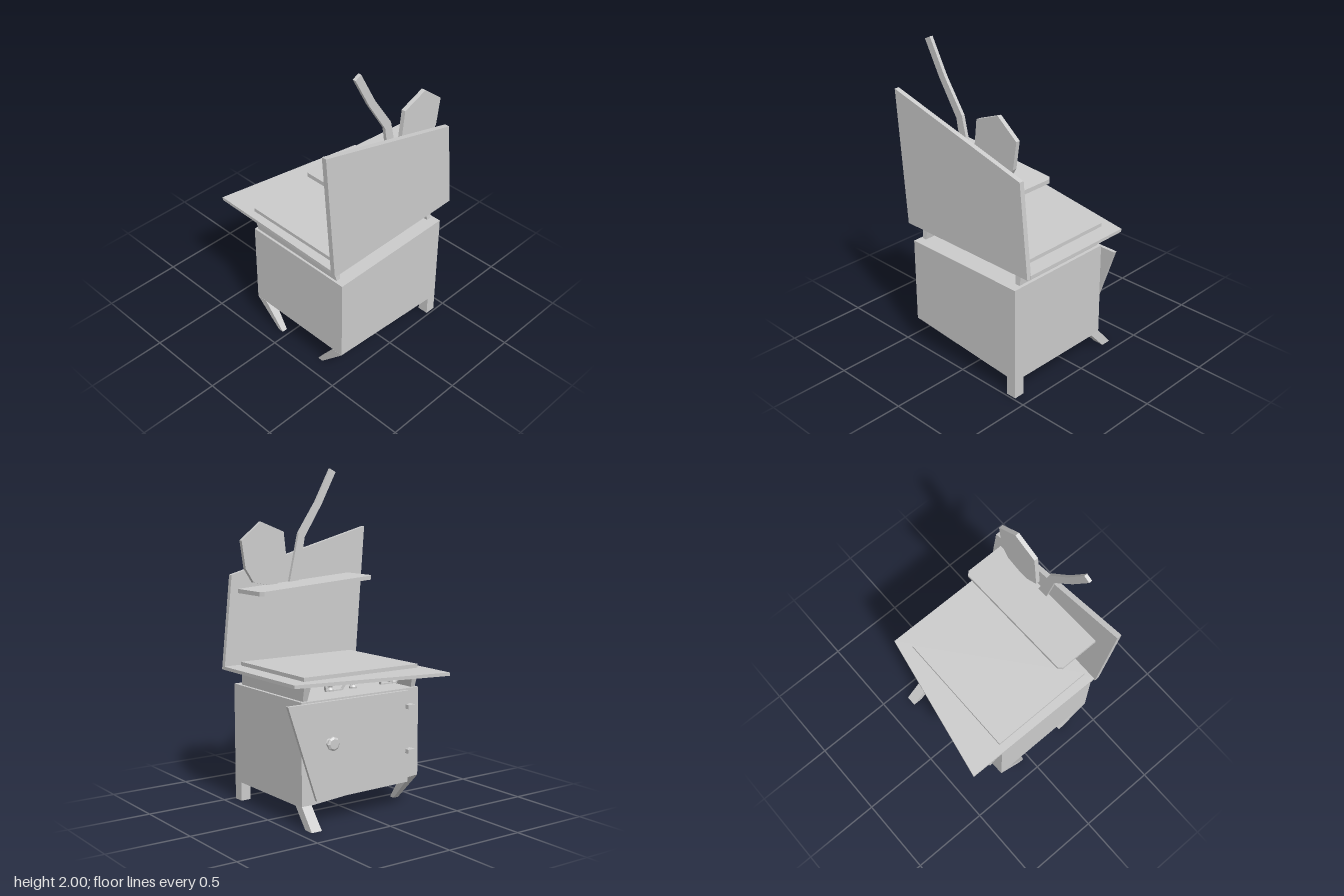
import * as THREE from 'three';

const mat = new THREE.MeshStandardMaterial({ color: 0xcccccc, flatShading: true, side: THREE.DoubleSide });

export function createModel() {
  const model = new THREE.Group();

  const add = (name, geo, x = 0, y = 0, z = 0) => {
    const mesh = new THREE.Mesh(geo, mat);
    mesh.name = name;
    mesh.position.set(x, y, z);
    model.add(mesh);
    return mesh;
  };
  const extrude = (pts, depth) => new THREE.ExtrudeGeometry(
    new THREE.Shape(pts.map(([a, b]) => new THREE.Vector2(a, b))), { depth, bevelEnabled: false });

  // Upright board: outline in (z, y), thickness from x0 to x1
  const sideBoard = (name, pts, x0, x1) =>
    add(name, extrude(pts, x1 - x0).rotateY(-Math.PI / 2), x1);
  // Flat board: outline in (x, z), thickness from y0 to y1
  const flatBoard = (name, pts, y0, y1) =>
    add(name, extrude(pts, y1 - y0).rotateX(Math.PI / 2), 0, y1);
  // Tapered block between two rectangles [x0, x1, z0, z1]
  const taper = (name, top, yTop, bottom, yBottom) => {
    const geo = new THREE.BoxGeometry(1, 1, 1);
    const p = geo.attributes.position;
    for (let i = 0; i < p.count; i++) {
      const up = p.getY(i) > 0, r = up ? top : bottom;
      p.setXYZ(i, r[p.getX(i) > 0 ? 1 : 0], up ? yTop : yBottom, r[p.getZ(i) > 0 ? 3 : 2]);
    }
    geo.computeVertexNormals();
    return add(name, geo);
  };

  // Cabinet with a sloping underside
  sideBoard('cabinet', [[0.41, 0.715], [0.41, 0.178], [-0.425, 0.115], [-0.425, 0.715]], -0.24, 0.487);

  // Mismatched legs
  taper('frontRightLeg', [-0.24, -0.165, 0.35, 0.41], 0.177, [-0.07, -0.035, 0.365, 0.4], 0);
  taper('frontLeftLeg', [0.418, 0.487, 0.35, 0.41], 0.177, [0.28, 0.315, 0.365, 0.4], 0);
  taper('backLeftLeg', [0.42, 0.487, -0.425, -0.36], 0.13, [0.42, 0.487, -0.425, -0.36], 0);
  taper('backRightLeg', [-0.24, -0.17, -0.425, -0.36], 0.122, [-0.345, -0.28, -0.43, -0.362], 0);

  // Rails holding the worktop above the cabinet
  taper('frontRail', [-0.25, 0.418, 0.352, 0.403], 0.812, [-0.222, 0.43, 0.37, 0.396], 0.712);
  taper('backRail', [-0.25, 0.418, -0.411, -0.363], 0.812, [-0.222, 0.43, -0.405, -0.375], 0.712);

  // Worktop and the raised slab on it
  flatBoard('worktop', [[-0.308, -0.515], [0.455, -0.515], [0.455, 0.452], [-0.487, 0.44]], 0.812, 0.832);
  flatBoard('slab', [[-0.25, -0.413], [0.423, -0.413], [0.423, 0.395], [-0.25, 0.395]], 0.83, 0.855);

  // Crooked back panel
  sideBoard('backPanel', [[0.525, 1.64], [-0.455, 1.375], [-0.512, 0.812], [0.46, 0.812]], 0.45, 0.48);

  // Shelf with clipped corners, sloping down toward the rear
  const shelf = flatBoard('shelf', [[0.45, -0.413], [0.205, -0.413], [0.185, -0.393],
    [0.185, 0.375], [0.205, 0.395], [0.45, 0.395]], 1.265, 1.29);
  const sp = shelf.geometry.attributes.position;
  for (let i = 0; i < sp.count; i++) sp.setY(i, sp.getY(i) + (sp.getZ(i) + 0.413) * 0.074);
  shelf.geometry.computeVertexNormals();

  // Bent stick and faceted plate standing on the shelf
  sideBoard('bentStick', [[0.285, 1.98], [0.245, 2], [0.137, 1.8], [0.008, 1.61], [-0.06, 1.315],
    [0.005, 1.315], [0.052, 1.585], [0.18, 1.785]], 0.428, 0.448);
  sideBoard('plate', [[-0.105, 1.622], [-0.265, 1.685], [-0.4, 1.577], [-0.375, 1.41],
    [-0.32, 1.325], [-0.17, 1.295], [-0.075, 1.365]], 0.422, 0.448);

  // Sagging door with hinges and a round knob
  sideBoard('door', [[0.32, 0.705], [0.32, 0.152], [-0.335, 0.142], [-0.525, 0.705]], -0.259, -0.238);
  for (const y of [0.61, 0.342]) add('hinge', new THREE.BoxGeometry(0.05, 0.025, 0.05), -0.262, y, 0.325);

  const lathe = (pts) => new THREE.LatheGeometry(pts.map(([r, y]) => new THREE.Vector2(r, y)), 8);
  add('doorKnob', lathe([[0, 0], [0.028, 0], [0.014, 0.018], [0.025, 0.03], [0.041, 0.036],
    [0.041, 0.046], [0.03, 0.054], [0, 0.054]]).rotateZ(Math.PI / 2), -0.256, 0.47, -0.25);

  // Small pegs and wire handles under the worktop edge
  for (const z of [0.204, -0.087, -0.246])
    add('peg', lathe([[0, 0], [0.022, 0], [0.022, 0.01], [0.013, 0.022], [0.024, 0.05]]), -0.26, 0.764, z);
  for (const z of [0.172, -0.213]) {
    const corners = [[0.075, 0.812], [0.045, 0.767], [-0.065, 0.767], [-0.072, 0.812]];
    for (let i = 0; i < 3; i++) {
      const [a, b] = [corners[i], corners[i + 1]];
      const bar = add('wireHandle', new THREE.BoxGeometry(0.018, 0.007, Math.hypot(b[0] - a[0], b[1] - a[1])),
        -0.265, (a[1] + b[1]) / 2, z + (a[0] + b[0]) / 2);
      bar.rotation.x = -Math.atan2(b[1] - a[1], b[0] - a[0]);
    }
  }
  return model;
}
